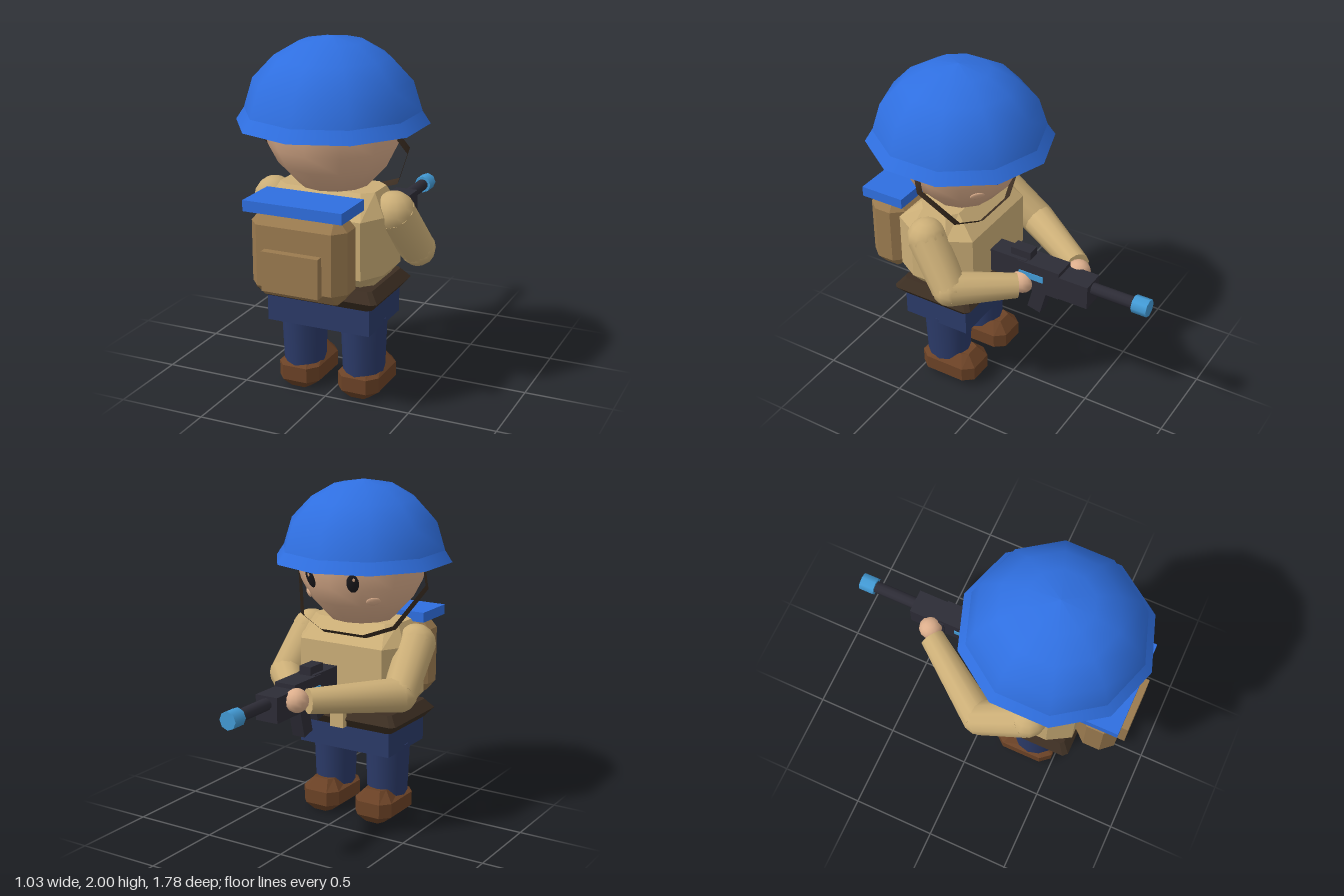
import * as THREE from 'three';

const mat = (name, color) => {
  const m = new THREE.MeshStandardMaterial({ color });
  m.name = name;
  return m;
};

// Stack of chamfered rectangles [y, halfX, halfZ, chamferX, chamferZ], flat faceted and capped.
function facetedBlock(rings, tilt = 0) {
  const loops = rings.map(([y, hx, hz, cx, cz], k) => [
    [hx - cx, hz], [hx, hz - cz], [hx, cz - hz], [hx - cx, -hz],
    [cx - hx, -hz], [-hx, cz - hz], [-hx, hz - cz], [cx - hx, hz],
  ].map(([x, z]) => [x, y + (k === rings.length - 1 && z < 0 ? tilt : 0), z]));
  const pos = [];
  const tri = (a, b, c) => pos.push(...a, ...b, ...c);
  for (let k = 0; k + 1 < loops.length; k++) {
    for (let i = 0; i < 8; i++) {
      const j = (i + 1) % 8, lo = loops[k], hi = loops[k + 1];
      tri(lo[i], lo[j], hi[j]);
      tri(lo[i], hi[j], hi[i]);
    }
  }
  const bottom = loops[0], top = loops[loops.length - 1];
  for (let i = 1; i < 7; i++) {
    tri(bottom[0], bottom[i + 1], bottom[i]);
    tri(top[0], top[i], top[i + 1]);
  }
  const g = new THREE.BufferGeometry();
  g.setAttribute('position', new THREE.Float32BufferAttribute(pos, 3));
  g.computeVertexNormals();
  return g;
}

const lathe = (points, sides) =>
  new THREE.LatheGeometry(points.map(([r, y]) => new THREE.Vector2(r, y)), sides);

export function createModel() {
  const model = new THREE.Group();
  model.name = 'soldier';

  const blue = mat('helmetBlue', 0x2f6fe0);
  blue.side = THREE.DoubleSide;
  const skin = mat('skin', 0xdcae8c);
  const tan = mat('uniformTan', 0xcbae77);
  const canvas = mat('packBrown', 0x9a7a4f);
  const leather = mat('darkLeather', 0x3c2e22);
  leather.side = THREE.DoubleSide;
  const navy = mat('trouserNavy', 0x2b3a68);
  const boot = mat('bootBrown', 0x6b4226);
  const metal = mat('gunMetal', 0x2d2c36);
  const accent = mat('gunBlue', 0x439bd6);
  const black = mat('eyeBlack', 0x1c1a1e);

  const add = (name, geometry, material, x = 0, y = 0, z = 0, parent = model) => {
    const mesh = new THREE.Mesh(geometry, material);
    mesh.name = name;
    mesh.position.set(x, y, z);
    parent.add(mesh);
    return mesh;
  };
  // Box given by its lower and upper limits
  const box = (name, material, [x0, x1], [y0, y1], [z0, z1]) =>
    add(name, new THREE.BoxGeometry(x1 - x0, y1 - y0, z1 - z0), material,
      (x0 + x1) / 2, (y0 + y1) / 2, (z0 + z1) / 2);

  // Helmet: rounded dome and flared brim
  const dome = [[0.49, 1.607], [0.44, 1.766], [0.32, 1.89], [0.18, 1.97], [0, 2]];
  const brim = [[0.535, 1.54], [0.49, 1.607]];
  for (const [name, profile] of [['helmetDome', dome], ['helmetBrim', brim]]) {
    add(name, lathe(profile, 10), blue, -0.0135, 0, 0.35).scale.x = 0.97;
  }

  // Head with eyes and cheeks, facing -z
  const head = new THREE.Group();
  head.name = 'head';
  head.position.set(-0.0125, 0, 0.337);
  model.add(head);
  const skull = [[0, 1.15], [0.185, 1.2], [0.295, 1.32], [0.345, 1.42], [0.383, 1.55], [0.38, 1.68], [0.3, 1.82], [0, 1.9]];
  add('skull', lathe(skull, 12), skin, 0, 0, 0, head).scale.x = 1.03;
  const ball = new THREE.SphereGeometry(1, 12, 8);
  const onFace = (name, material, angle, r, y, size) => {
    const m = add(name, ball, material, Math.sin(angle) * r, y, -Math.cos(angle) * r, head);
    m.rotation.order = 'YXZ';
    m.rotation.set(0.35, Math.PI - angle, 0);
    m.scale.set(...size);
  };
  for (const s of [-1, 1]) {
    onFace('eye', black, s * 0.4, 0.358, 1.465, [0.036, 0.058, 0.014]);
    onFace('eyeGlint', skin, s * 0.4 - 0.02, 0.374, 1.487, [0.011, 0.015, 0.006]);
    onFace('cheek', skin, s * 0.75, 0.317, 1.355, [0.042, 0.025, 0.008]);
  }

  // Chin strap: a flat ribbon lying along a slanted plane
  const strapPath = [[-0.39, 1.5, 0.38], [-0.43, 1.42, 0.335], [-0.31, 1.2, 0.18], [-0.14, 1.135, 0.135]];
  const strapPoints = [...strapPath, ...strapPath.map(([x, y, z]) => [-x, y, z]).reverse()];
  const strap = new THREE.PlaneGeometry(1, 1, strapPoints.length - 1, 1);
  strapPoints.forEach(([x, y, z], i) => {
    strap.attributes.position.setXYZ(i, x - 0.0125, y + 0.013, z - 0.018);
    strap.attributes.position.setXYZ(i + strapPoints.length, x - 0.0125, y - 0.013, z + 0.018);
  });
  strap.computeVertexNormals();
  add('chinStrap', strap, leather);

  // Torso, belt and hips
  add('torso', facetedBlock([
    [0.68, 0.28, 0.15, 0.05, 0.05], [0.76, 0.3475, 0.247, 0.075, 0.13],
    [1.08, 0.3475, 0.247, 0.075, 0.13], [1.2, 0.28, 0.125, 0.06, 0.05],
  ]), tan, -0.0125, 0, 0.353);
  add('belt', facetedBlock([
    [0.58, 0.315, 0.215, 0.02, 0.02], [0.635, 0.362, 0.26, 0.025, 0.025], [0.69, 0.315, 0.215, 0.02, 0.02],
  ]), leather, -0.0125, 0, 0.35);
  box('buckle', tan, [-0.055, 0.035], [0.59, 0.68], [0.065, 0.105]);
  box('hips', navy, [-0.315, 0.293], [0.433, 0.585], [0.145, 0.56]);

  // Legs and boots
  for (const s of [-1, 1]) {
    const x = -0.012 + s * 0.182;
    add('leg', new THREE.CylinderGeometry(0.127, 0.115, 0.32, 12), navy, x, 0.3, 0.35).scale.z = 1.15;
    add('boot', facetedBlock([
      [0, 0.06, 0.14, 0.02, 0.04], [0.05, 0.123, 0.183, 0.05, 0.06],
      [0.135, 0.123, 0.183, 0.05, 0.06], [0.17, 0.065, 0.125, 0.02, 0.04],
    ], 0.03), boot, x, 0, 0.308);
  }

  // Backpack with pocket and bedroll
  add('backpack', facetedBlock([
    [0.675, 0.215, 0.05, 0.01, 0.01], [0.745, 0.275, 0.118, 0.06, 0.068],
    [1.08, 0.275, 0.118, 0.06, 0.068], [1.15, 0.215, 0.05, 0.01, 0.01],
  ]), canvas, -0.01, 0, 0.718);
  box('packPocket', canvas, [-0.175, 0.15], [0.738, 0.955], [0.8, 0.88]);
  box('bedroll', blue, [-0.295, 0.27], [1.145, 1.205], [0.575, 0.845]);

  // Arms: tapered segments with round joints
  const limb = (name, a, b, ra, rb) => {
    const p = new THREE.Vector3(...a), q = new THREE.Vector3(...b);
    const d = q.clone().sub(p);
    const m = add(name, new THREE.CylinderGeometry(rb, ra, d.length(), 12), tan);
    m.position.copy(p).add(q).multiplyScalar(0.5);
    m.quaternion.setFromUnitVectors(new THREE.Vector3(0, 1, 0), d.normalize());
  };
  const joint = (name, p, r, material) =>
    add(name, new THREE.SphereGeometry(r, 12, 8), material, ...p);
  const arms = [
    { shoulder: [0.345, 1.08, 0.35], elbow: [0.41, 0.83, 0.17], wrist: [0.16, 0.805, -0.12], hand: [0.115, 0.81, -0.13] },
    { shoulder: [-0.37, 1.08, 0.35], elbow: [-0.42, 0.85, 0.08], wrist: [-0.1, 0.875, -0.365], hand: [-0.05, 0.88, -0.4] },
  ];
  for (const { shoulder, elbow, wrist, hand } of arms) {
    joint('shoulder', shoulder, 0.115, tan);
    limb('upperArm', shoulder, elbow, 0.115, 0.1);
    joint('elbow', elbow, 0.1, tan);
    limb('forearm', elbow, wrist, 0.1, 0.072);
    joint('hand', hand, 0.068, skin);
  }

  // Rifle pointing along -z
  box('rifleStock', metal, [-0.005, 0.115], [0.81, 0.955], [-0.15, 0.08]);
  box('rifleBody', metal, [-0.013, 0.12], [0.775, 0.95], [-0.365, -0.1]);
  box('rifleHandguard', metal, [-0.02, 0.12], [0.78, 0.925], [-0.545, -0.33]);
  box('rifleSight', metal, [0.015, 0.09], [0.94, 1.0], [-0.165, -0.04]);
  box('riflePanel', accent, [-0.018, 0.125], [0.85, 0.89], [-0.265, -0.11]);
  const barrel = add('rifleBarrel', new THREE.CylinderGeometry(0.035, 0.035, 0.3, 10), metal, 0.051, 0.88, -0.67);
  const muzzle = add('rifleMuzzle', new THREE.CylinderGeometry(0.052, 0.052, 0.09, 8), accent, 0.051, 0.88, -0.845);
  barrel.rotation.x = muzzle.rotation.x = Math.PI / 2;
  const magazine = add('rifleMagazine', new THREE.BoxGeometry(0.08, 0.19, 0.085), metal, 0.053, 0.71, -0.215);
  const grip = add('rifleGrip', new THREE.BoxGeometry(0.07, 0.16, 0.07), metal, 0.053, 0.755, -0.075);
  magazine.rotation.x = grip.rotation.x = -0.25;

  return model;
}
